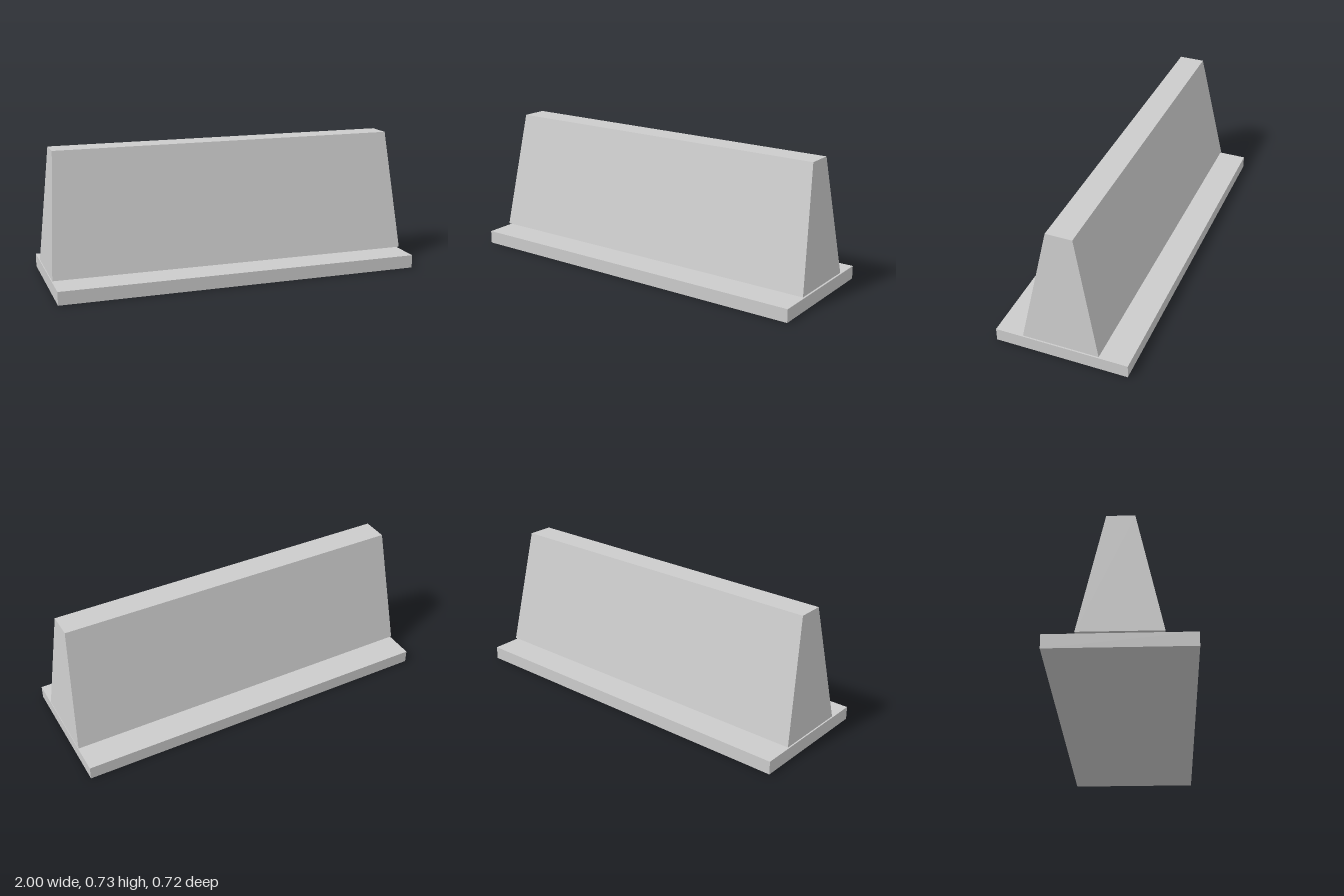
import * as THREE from 'three';

const material = new THREE.MeshStandardMaterial({ color: 0xcccccc, flatShading: true });

// Box standing on y0 whose upper corners are pulled in to topWidth x topDepth
function taperedBlock(name, y0, y1, width, depth, topWidth = width, topDepth = depth) {
  const geometry = new THREE.BoxGeometry(width, y1 - y0, depth);
  geometry.translate(0, (y0 + y1) / 2, 0);
  const pos = geometry.attributes.position;
  const middle = (y0 + y1) / 2;
  for (let i = 0; i < pos.count; i++) {
    if (pos.getY(i) > middle) {
      pos.setX(i, Math.sign(pos.getX(i)) * topWidth / 2);
      pos.setZ(i, Math.sign(pos.getZ(i)) * topDepth / 2);
    }
  }
  geometry.computeVertexNormals();
  const mesh = new THREE.Mesh(geometry, material);
  mesh.name = name;
  return mesh;
}

export function createModel() {
  const group = new THREE.Group();
  group.name = 'barrier';

  // Flat footing slab
  group.add(taperedBlock('basePlate', 0, 0.072, 2, 0.722));

  // Wall with four sloping sides, held just clear of the slab
  group.add(taperedBlock('barrierWall', 0.081, 0.733, 2, 0.414, 1.908, 0.141));

  return group;
}
